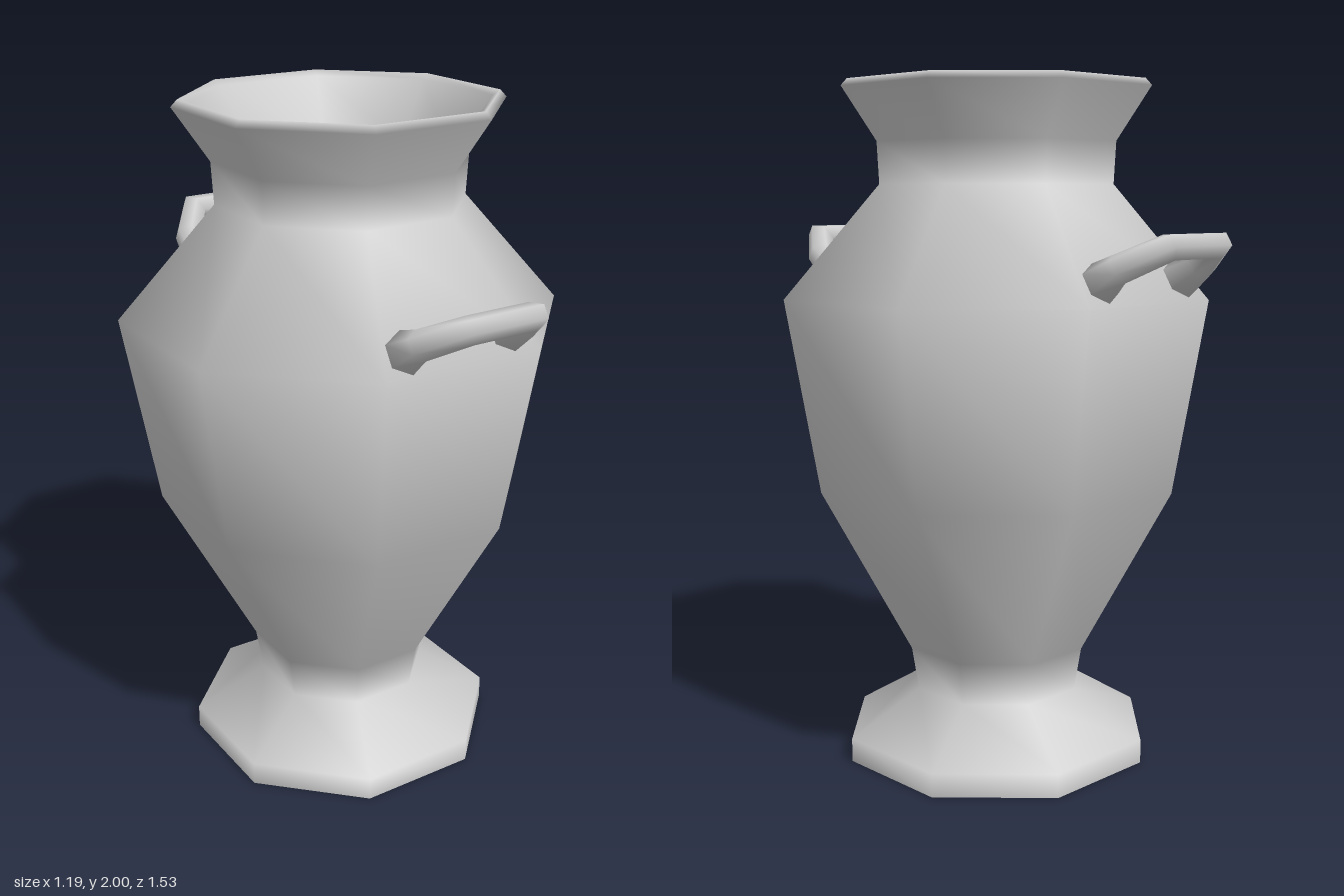
import * as THREE from 'three';

const SIDES = 8;
const TURN = Math.PI / SIDES;            // flats face the axes
const material = new THREE.MeshStandardMaterial({ color: 0xcccccc });

function part(name, geometry) {
  const mesh = new THREE.Mesh(geometry, material);
  mesh.name = name;
  return mesh;
}

// Eight-sided turned shell; profile is [distance to flat, height]
function turned(profile) {
  const points = profile.map(([a, y]) => new THREE.Vector2(a / Math.cos(TURN), y));
  return new THREE.LatheGeometry(points, SIDES, TURN);
}

// Eight-sided flat cap facing up (dir = 1) or down (dir = -1)
function cap(apothem, y, dir) {
  return new THREE.CircleGeometry(apothem / Math.cos(TURN), SIDES, TURN)
    .rotateX(-dir * Math.PI / 2).translate(0, y, 0);
}

// Bent six-sided handle lying in a plane that tilts up and outwards
function handleGeometry() {
  const out = new THREE.Vector3(0, 0.53, 0.85).normalize();
  const up = new THREE.Vector3(0, 0.85, -0.53).normalize();
  // x, y, z, thickness radius, mitre stretch, angle of the mitre from x
  const half = [
    [0.165, 1.452, 0.555, 0.06, 1.05, 0],
    [0.172, 1.492, 0.622, 0.042, 1.06, 0.28],
    [0.098, 1.548, 0.725, 0.038, 1.16, 1.04],
  ];
  const mirrored = half.map(([x, y, z, r, m, a]) => [-x, y, z, r, m, Math.PI - a]);
  const rings = [...half, ...mirrored.reverse()];
  const N = 6, positions = [], index = [];
  for (const [x, y, z, r, stretch, angle] of rings) {
    const side = new THREE.Vector3(Math.cos(angle), 0, 0).addScaledVector(out, Math.sin(angle));
    for (let i = 0; i < N; i++) {
      const t = (i / N) * Math.PI * 2;
      const p = new THREE.Vector3(x, y, z)
        .addScaledVector(up, r * Math.cos(t))
        .addScaledVector(side, r * stretch * Math.sin(t));
      positions.push(p.x, p.y, p.z);
    }
  }
  for (let k = 0; k < rings.length - 1; k++) {
    for (let i = 0; i < N; i++) {
      const a = k * N + i, b = k * N + (i + 1) % N;
      index.push(a, a + N, b, b, a + N, b + N);
    }
  }
  // Close both feet
  const last = (rings.length - 1) * N;
  for (let i = 1; i < N - 1; i++) {
    index.push(0, i, i + 1, last, last + i + 1, last + i);
  }
  const geometry = new THREE.BufferGeometry();
  geometry.setAttribute('position', new THREE.Float32BufferAttribute(positions, 3));
  geometry.setIndex(index);
  geometry.computeVertexNormals();
  return geometry;
}

export function createModel() {
  const vase = new THREE.Group();
  vase.name = 'vase';

  // Foot, belly, shoulder, neck, flared rim and the inside of the mouth
  vase.add(part('body', turned([
    [0.432, 0], [0.432, 0.07], [0.235, 0.2], [0.255, 0.33], [0.505, 0.83],
    [0.594, 1.39], [0.332, 1.71], [0.338, 1.83], [0.432, 1.98], [0.415, 2],
    [0.395, 1.985], [0.285, 1.82], [0.272, 1.7],
  ])));
  vase.add(part('base', cap(0.432, 0, -1)));
  vase.add(part('mouthFloor', cap(0.272, 1.7, 1)));

  // Handles on the front and back shoulders
  const geometry = handleGeometry();
  const front = part('frontHandle', geometry);
  const back = part('backHandle', geometry);
  back.rotation.y = Math.PI;
  vase.add(front, back);
  return vase;
}
